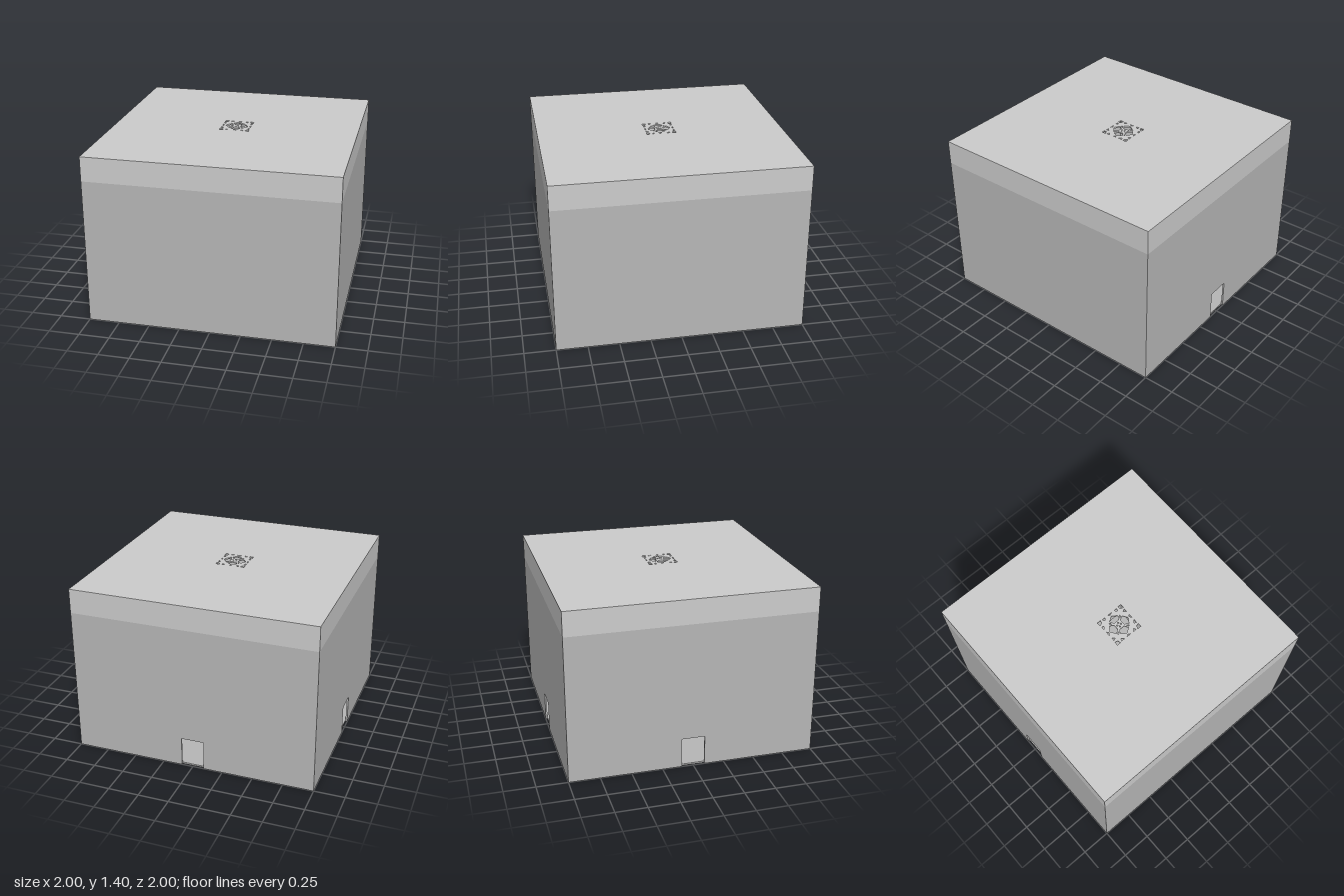
import * as THREE from 'three';

const WALL_H = 1.2, ROOF_H = 0.2, T = 0.014;
const DOOR_W = 0.186, DOOR_H = 0.243, SKY = 0.133;

const wallMat = new THREE.MeshStandardMaterial({ color: 0xb6b6b6 });
const roofMat = new THREE.MeshStandardMaterial({ color: 0xcccccc });

const square = (r) => [[-r, -r], [r, -r], [r, r], [-r, r]];
const path = (pts, Type = THREE.Path) => new Type(pts.map(([x, y]) => new THREE.Vector2(x, y)));

function extrude(name, shape, depth, mat) {
  const geo = new THREE.ExtrudeGeometry(shape, { depth, bevelEnabled: false });
  const mesh = new THREE.Mesh(geo, mat);
  mesh.name = name;
  return mesh;
}

// One wall, standing at the +z side before it is turned; overlaps the next only at its end
function makeWall(name, angle, hasDoor) {
  const d = DOOR_W / 2, end = 1 - T;
  const pts = hasDoor
    ? [[-1, 0], [-d, 0], [-d, DOOR_H], [d, DOOR_H], [d, 0], [end, 0], [end, WALL_H], [-1, WALL_H]]
    : [[-1, 0], [end, 0], [end, WALL_H], [-1, WALL_H]];
  const mesh = extrude(name, path(pts, THREE.Shape), T, wallMat);
  mesh.position.z = 1 - T;
  const wall = new THREE.Group();
  wall.name = name;
  wall.add(mesh);
  wall.rotation.y = angle;
  return wall;
}

// Square pierced screen: every opening is repeated four times around the centre
function makeScreen() {
  const shape = path(square(SKY), THREE.Shape);
  const openings = [
    [[-0.022, 0.034], [0.022, 0.034], [0.042, 0.066], [0, 0.094], [-0.042, 0.066]],  // large pentagon
    [[0.004, 0.009], [0.011, 0.016], [0.004, 0.023], [-0.003, 0.016]],               // centre diamond
    [[0.039, 0.039], [0.054, 0.047], [0.059, 0.059], [0.047, 0.054]],                // diagonal kite
    [[0.122, 0.122], [0.09, 0.122], [0.098, 0.098], [0.122, 0.09]],                  // corner kite
    [[0.075, 0.118], [0.045, 0.118], [0.066, 0.098]],                                // edge triangles
    [[-0.075, 0.118], [-0.045, 0.118], [-0.066, 0.098]],
    [[0, 0.106], [0.02, 0.118], [-0.02, 0.118]],
  ];
  for (let i = 0; i < 4; i++) {
    const c = Math.round(Math.cos(i * Math.PI / 2)), s = Math.round(Math.sin(i * Math.PI / 2));
    for (const o of openings) shape.holes.push(path(o.map(([x, y]) => [x * c - y * s, x * s + y * c])));
  }
  const screen = extrude('skylightScreen', shape, 0.012, roofMat);
  screen.rotation.x = -Math.PI / 2;
  screen.position.y = WALL_H + ROOF_H - 0.012;
  return screen;
}

export function createModel() {
  const model = new THREE.Group();
  model.name = 'pavilion';

  // Floor inside the walls
  const floor = new THREE.Mesh(new THREE.BoxGeometry(2 - 2 * T, T, 2 - 2 * T), wallMat);
  floor.name = 'floor';
  floor.position.y = T / 2;
  model.add(floor);

  // Walls, two of them with a doorway
  model.add(
    makeWall('frontWall', 0, false),
    makeWall('leftWall', Math.PI / 2, false),
    makeWall('backWall', Math.PI, true),
    makeWall('rightWall', -Math.PI / 2, true),
  );

  // Flat roof slab with a square skylight shaft
  const slab = path(square(1), THREE.Shape);
  slab.holes.push(path(square(SKY)));
  const roof = extrude('roofSlab', slab, ROOF_H, roofMat);
  roof.rotation.x = -Math.PI / 2;
  roof.position.y = WALL_H;
  model.add(roof, makeScreen());

  return model;
}
